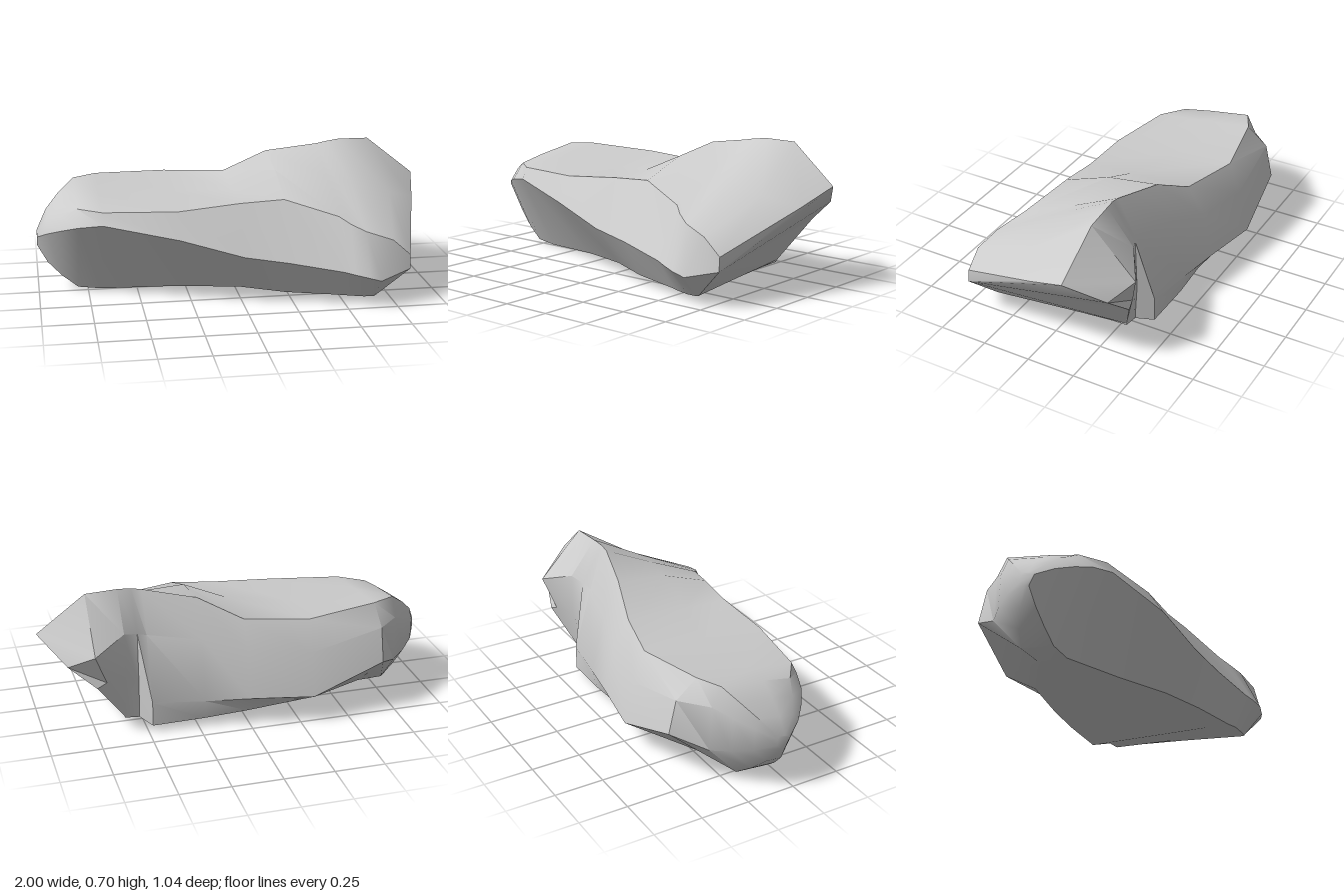
import * as THREE from 'three';
import { toCreasedNormals } from 'three/addons/utils/BufferGeometryUtils.js';

// Key cross-sections along x. Each loop of [z, y] runs: front bulge, front top edge,
// top, crest, upper back, lower back, back underside, front underside.
const sections = [
  [-.8, [[.17, .38], [.1, .46], [-.05, .49], [-.28, .525], [-.33, .43], [-.34, .2], [-.19, .03], [-.02, .012]]],
  [-.68, [[.22, .4], [.19, .46], [-.05, .49], [-.34, .53], [-.45, .44], [-.49, .27], [-.16, .008], [-.01, 0]]],
  [-.31, [[.33, .34], [.25, .465], [-.08, .48], [-.41, .515], [-.47, .36], [-.525, .145], [-.36, .05], [.1, .03]]],
  [0, [[.385, .255], [.235, .49], [0, .5], [-.33, .52], [-.42, .38], [-.47, .15], [-.4, .05], [.22, .05]]],
  [.22, [[.42, .225], [.25, .505], [0, .595], [-.27, .635], [-.36, .45], [-.435, .15], [-.41, .045], [.31, .04]]],
  [.48, [[.48, .185], [.34, .43], [.05, .56], [-.2, .68], [-.3, .48], [-.4, .16], [-.4, .035], [.38, .035]]],
  [.53, [[.5, .175], [.38, .4], [.07, .545], [-.2, .69], [-.32, .5], [-.33, .24], [-.32, .05], [.4, .035]]],
  [.6, [[.52, .16], [.42, .37], [.09, .535], [-.21, .698], [-.35, .52], [-.35, .3], [-.31, .05], [.41, .03]]],
];

// Slanted loops of [x, y, z] framing the flat sloping face of the raised end
const raisedEnd = [
  [[.66, .14, .51], [.73, .33, .45], [.8, .48, .1], [.76, .695, -.22],
    [.76, .46, -.45], [.7, .3, -.4], [.6, .055, -.31], [.65, .03, .41]],
  [[.82, .18, .455], [.82, .25, .45], [.95, .425, 0], [1, .505, -.2],
    [.88, .39, -.37], [.75, .28, -.41], [.6, .06, -.305], [.66, .03, .4]],
];

// Copies a loop drawn in towards a tip
function shrink(loop, x, scale, tipY, tipZ) {
  return loop.map(([, y, z]) => [x, tipY + (y - tipY) * scale, tipZ + (z - tipZ) * scale]);
}

// Skins the loops into a closed surface with fan-shaped ends
function loft(rings) {
  const n = rings[0].length, last = (rings.length - 1) * n;
  const index = [];
  for (let i = 0; i < last; i += n) {
    for (let j = 0; j < n; j++) {
      const a = i + j, b = i + (j + 1) % n;
      index.push(a, a + n, b, b, a + n, b + n);
    }
  }
  for (let j = 1; j < n - 1; j++) {
    index.push(0, j, j + 1);
    index.push(last, last + j + 1, last + j);
  }
  const geometry = new THREE.BufferGeometry();
  geometry.setAttribute('position', new THREE.Float32BufferAttribute(rings.flat(2), 3));
  geometry.setIndex(index);
  return toCreasedNormals(geometry, 0.65);
}

export function createModel() {
  const group = new THREE.Group();
  group.name = 'rock';

  const body = sections.map(([x, loop]) => loop.map(([z, y]) => [x, y, z]));
  // Blunt low end
  const lowEnd = [[-1, .14], [-.95, .48], [-.88, .76]].map(([x, s]) => shrink(body[0], x, s, .27, -.06));

  const stone = new THREE.Mesh(
    loft([...lowEnd, ...body, ...raisedEnd]),
    new THREE.MeshStandardMaterial({ color: 0xcccccc }),
  );
  stone.name = 'boulder';
  group.add(stone);
  return group;
}
